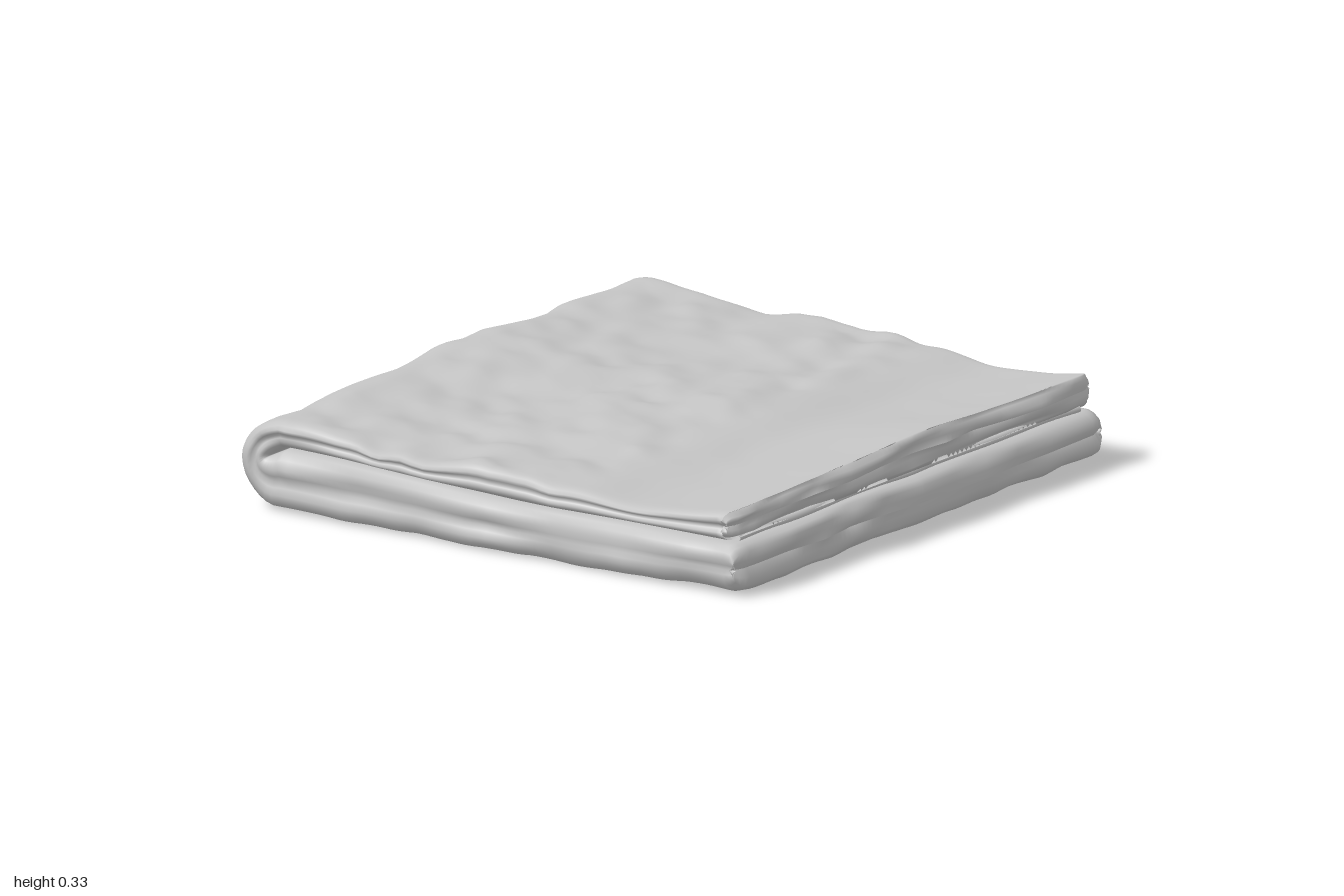
import * as THREE from 'three';

const { lerp, smoothstep } = THREE.MathUtils;

// smooth, repeatable value noise for the cloth wrinkles
const hash = (i, j) => {
  const s = Math.sin(i * 127.1 + j * 311.7) * 43758.5453;
  return (s - Math.floor(s)) * 2 - 1;
};
const noise = (x, y) => {
  const i = Math.floor(x), j = Math.floor(y), f = x - i, g = smoothstep(y - j, 0, 1);
  const a = lerp(hash(i, j), hash(i + 1, j), f);
  const b = lerp(hash(i, j + 1), hash(i + 1, j + 1), f);
  return lerp(a, b, g);
};
const wrinkle = (x, s) => noise(x * 6 + s * 2.5, s * 6 - x * 2) * 0.6 + noise(x * 11 - s * 4 + 9, s * 11 + x * 3) * 0.5;

// height of the top surface from back to front
const topCurve = new THREE.CatmullRomCurve3([
  [-0.78, 0.3], [-0.6, 0.291], [-0.4, 0.272], [-0.1, 0.278], [0.15, 0.279], [0.35, 0.268],
  [0.52, 0.246], [0.7, 0.258], [0.9, 0.284],
].map(([z, y]) => new THREE.Vector3(0, y, z)));

// height of the slit between the layers, rising toward the back
const slit = z => 0.177 + 0.03 * smoothstep(-z, -0.2, 0.65);

// stations along the folded cloth: outer and inner edge as [z, y], and roughness
function makeStations() {
  const list = [];
  const N = 56, M = 16, lowFront = 0.905, back = -0.78;
  const tips = [[0, 0.036], [0.35, 0.038], [0.7, 0.034], [0.92, 0.018]]; // thickness scale, reach
  const addTip = (z, outerY, innerY, [k, reach], rough) => {
    const mid = (outerY + innerY) / 2;
    list.push({
      outer: [z + reach, lerp(mid, outerY, k)], inner: [z + reach, lerp(mid, innerY, k)], rough: rough * k, tip: 1,
    });
  };
  // lower layer, front to back
  tips.forEach(t => addTip(lowFront, 0.02, 0.17, t, 0.012));
  for (let i = 0; i <= N; i++) {
    const z = lerp(lowFront, back, i / N);
    list.push({ outer: [z, 0.011 + 0.009 * Math.abs(z)], inner: [z, slit(z) - 0.006], rough: 0.008, tip: 0 });
  }
  // rounded fold at the back
  const mid = slit(back);
  for (let i = 1; i < M; i++) {
    const a = Math.PI * i / M, c = Math.cos(a), s = Math.sin(a);
    list.push({
      outer: [back - 0.165 * s, 0.159 - 0.141 * c],
      inner: [back - 0.05 * s, mid - 0.006 * c - 0.03 * s], rough: 0.014, tip: 0,
    });
  }
  // upper layer, back to front
  for (let i = 0; i <= N; i++) {
    const p = topCurve.getPoint(i / N);
    const rough = lerp(0.021, 0.002, smoothstep(p.z, 0.22, 0.36));
    list.push({ outer: [p.z, p.y], inner: [p.z, slit(p.z) + 0.006], rough, tip: 0 });
  }
  tips.reverse().forEach(t => addTip(0.875, 0.284, 0.186, t, 0.003));
  return list;
}

// ring around the cloth layer: [across, outer(1) to inner(-1)], with lightly creased sides
function makeRing() {
  const side = [[0.975, 0.94], [0.99, 0.75], [0.998, 0.5], [0.994, 0.25], [0.985, 0.05],
    [0.99, -0.15], [0.998, -0.4], [0.992, -0.7], [0.975, -0.93]];
  const U = 80, ring = [];
  for (let i = 0; i <= U; i++) ring.push([lerp(-0.955, 0.955, i / U), 1]);
  side.forEach(p => ring.push(p));
  for (let i = 0; i <= U; i++) ring.push([lerp(0.95, -0.95, i / U), -1]);
  side.slice().reverse().forEach(([u, v]) => ring.push([-u, v]));
  return ring;
}

function foldedCloth() {
  const stations = makeStations(), ring = makeRing();
  const n = ring.length, pos = [], index = [];
  let s = 0;
  stations.forEach((st, i) => {
    if (i) {
      const q = stations[i - 1];
      s += Math.hypot(st.outer[0] - q.outer[0], st.outer[1] - q.outer[1]);
    }
    const dz = st.outer[0] - st.inner[0], dy = st.outer[1] - st.inner[1];
    const len = Math.hypot(dz, dy) || 1;
    ring.forEach(([u, v]) => {
      const t = (v + 1) / 2;
      let z = lerp(st.inner[0], st.outer[0], t), y = lerp(st.inner[1], st.outer[1], t);
      // the sides narrow slightly toward the front, the upper layer a little more
      const edge = smoothstep(Math.abs(u), 0.9, 1);
      const front = smoothstep(z, -0.4, 0.9), upper = smoothstep(y, 0.17, 0.28);
      const width = 0.99 - 0.032 * front - 0.012 * front * upper;
      const x = u * width + Math.sign(u) * edge * 0.01 * noise(z * 4 + 3, y * 22 + u * 5);
      // wrinkles push the outer face in and out
      const w = wrinkle(x, s) * st.rough * t;
      z += w * dz / len;
      y += w * dy / len;
      // wavy front edges, slightly rounded corners
      z += st.tip * 0.016 * noise(x * 6 + 2, i * 0.8);
      z -= Math.sign(z) * 0.018 * smoothstep(Math.abs(u), 0.95, 1) * smoothstep(Math.abs(z), 0.8, 0.93);
      // slight tilt, a swell near the middle and a sagging upper left
      y += 0.009 * x;
      y += upper * (0.016 * Math.exp(-(((x - 0.08) / 0.3) ** 2)) - 0.01 * smoothstep(-x, 0.3, 0.95));
      pos.push(x, Math.max(y, 0), z);
    });
  });
  for (let i = 0; i < stations.length - 1; i++) {
    for (let j = 0; j < n; j++) {
      const a = i * n + j, b = i * n + (j + 1) % n;
      index.push(a, a + n, b, b, a + n, b + n);
    }
  }
  const g = new THREE.BufferGeometry();
  g.setAttribute('position', new THREE.Float32BufferAttribute(pos, 3));
  g.setIndex(index);
  g.computeVertexNormals();
  return g;
}

// thin hem strip tucked between the two layers
function hemStrip() {
  const pts = [];
  for (let i = 0; i <= 12; i++) {
    const x = lerp(-0.88, 0.88, i / 12);
    pts.push(new THREE.Vector3(x, 0.178 + 0.009 * x, 0.885 + 0.01 * hash(i, 3)));
  }
  return new THREE.TubeGeometry(new THREE.CatmullRomCurve3(pts), 48, 0.014, 8, false);
}

export function createModel() {
  const group = new THREE.Group();
  group.name = 'foldedBlanket';
  const cloth = new THREE.MeshStandardMaterial({ color: 0xc4c4c4, side: THREE.DoubleSide });
  cloth.name = 'grey cloth';
  const add = (name, geometry) => {
    const mesh = new THREE.Mesh(geometry, cloth);
    mesh.name = name;
    group.add(mesh);
  };
  add('foldedCloth', foldedCloth());
  add('innerHem', hemStrip());
  return group;
}
